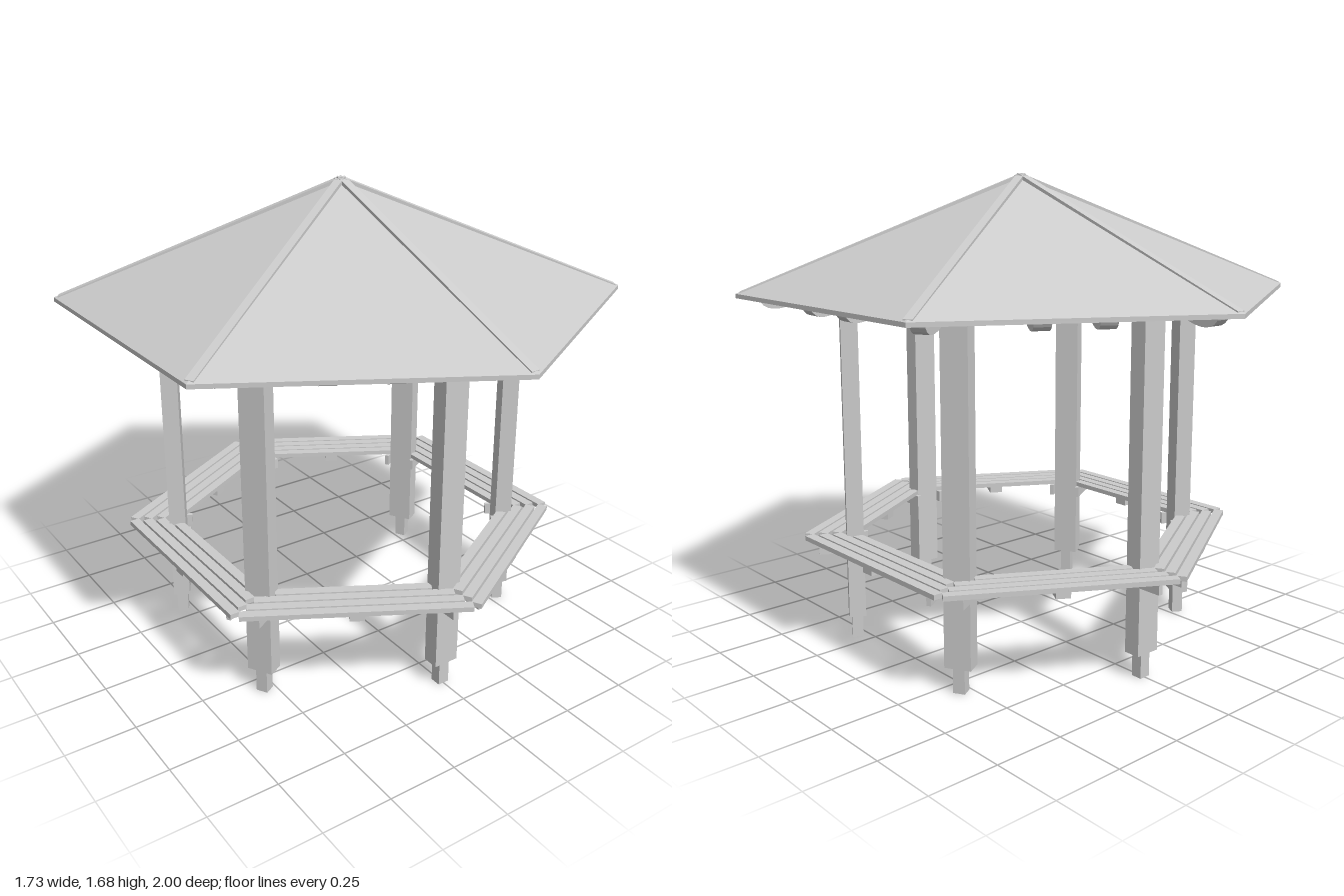
import * as THREE from 'three';

const mat = new THREE.MeshStandardMaterial({ color: 0xcccccc, flatShading: true });
const SIDE = Math.cos(Math.PI / 6); // apothem of a unit hexagon

function add(parent, name, geometry) {
  const mesh = new THREE.Mesh(geometry, mat);
  mesh.name = name;
  parent.add(mesh);
  return mesh;
}

// Box given by its radial, vertical and tangential ranges
function box(parent, name, [x0, x1], [y0, y1], [z0, z1]) {
  const g = new THREE.BoxGeometry(x1 - x0, y1 - y0, z1 - z0);
  g.translate((x0 + x1) / 2, (y0 + y1) / 2, (z0 + z1) / 2);
  return add(parent, name, g);
}

// Profile in the radial/vertical plane, given a width about a tangential offset
function board(parent, name, shape, width, offset = 0) {
  const g = new THREE.ExtrudeGeometry(shape, { depth: width, bevelEnabled: false, curveSegments: 8 });
  g.translate(0, 0, offset - width / 2);
  return add(parent, name, g);
}

// Sloping rafter under the roof with a rounded tail
function rafterShape(r0, r1, eave, depth) {
  const slope = 0.395 / eave;
  const under = r => 1.265 + (eave - r) * slope;
  const s = new THREE.Shape();
  s.moveTo(r0, under(r0));
  s.lineTo(r0, under(r0) - depth);
  s.lineTo(r1 - 0.13, under(r1 - 0.13) - depth);
  s.quadraticCurveTo(r1 - 0.01, under(r1 - 0.01) - depth, r1, under(r1));
  s.closePath();
  return s;
}

function cornerParts() {
  const g = new THREE.Group();
  box(g, 'postFoot', [0.6, 0.64], [0, 0.1], [-0.021, 0.021]);
  box(g, 'post', [0.59, 0.65], [0.09, 1.36], [-0.047, 0.047]);
  // Bench bearers clasping the post
  for (const s of [-1, 1]) {
    box(g, 'benchBearer', [0.57, 0.75], [0.343, 0.385], [s * 0.055 - 0.008, s * 0.055 + 0.008]);
  }
  board(g, 'hipRafter', rafterShape(0.02, 0.93, 1, 0.1), 0.05);
  // Thin capping strip along the hip
  const cap = new THREE.Shape([[0, 1.67], [0.985, 1.277], [0.985, 1.287], [0, 1.685]]
    .map(p => new THREE.Vector2(...p)));
  board(g, 'hipCap', cap, 0.03);
  return g;
}

function sideParts() {
  const g = new THREE.Group();
  // Four seat slats, longer toward the outside, the inner one between posts
  for (let i = 0; i < 4; i++) {
    const a = 0.537 + i * 0.0425;
    const half = i === 0 ? 0.265 : (a + 0.035) / Math.sqrt(3) - 0.018;
    box(g, 'seatSlat', [a, a + 0.035], [0.385, 0.402], [-half, half]);
  }
  box(g, 'seatBatten', [0.54, 0.69], [0.361, 0.386], [-0.025, 0.025]);

  // Beam between post tops and purlins nearer the peak
  box(g, 'ringBeam', [0.512, 0.562], [1.27, 1.345], [-0.3, 0.3]);
  for (const r of [0.41, 0.22]) {
    const a = r * SIDE;
    const top = 1.65 - 0.395 * r;
    box(g, 'purlin', [a - 0.018, a + 0.018], [top - 0.075, top - 0.005], [-r / 2, r / 2]);
  }

  // Short rafters carrying the eaves
  for (const s of [-1, 1]) {
    board(g, 'eaveRafter', rafterShape(0.5, 0.83, SIDE, 0.085), 0.055, s * 0.1);
  }
  return g;
}

export function createModel() {
  const model = new THREE.Group();
  model.name = 'hexagonalGazebo';

  // Six-sided roof shell
  const profile = [[0, 1.66], [1, 1.265], [1, 1.28], [0, 1.675]].map(p => new THREE.Vector2(...p));
  add(model, 'roof', new THREE.LatheGeometry(profile, 6));

  for (let k = 0; k < 6; k++) {
    const corner = cornerParts();
    corner.name = 'corner';
    corner.rotation.y = (k + 0.5) * Math.PI / 3;
    const side = sideParts();
    side.name = 'side';
    side.rotation.y = k * Math.PI / 3;
    model.add(corner, side);
  }
  return model;
}
